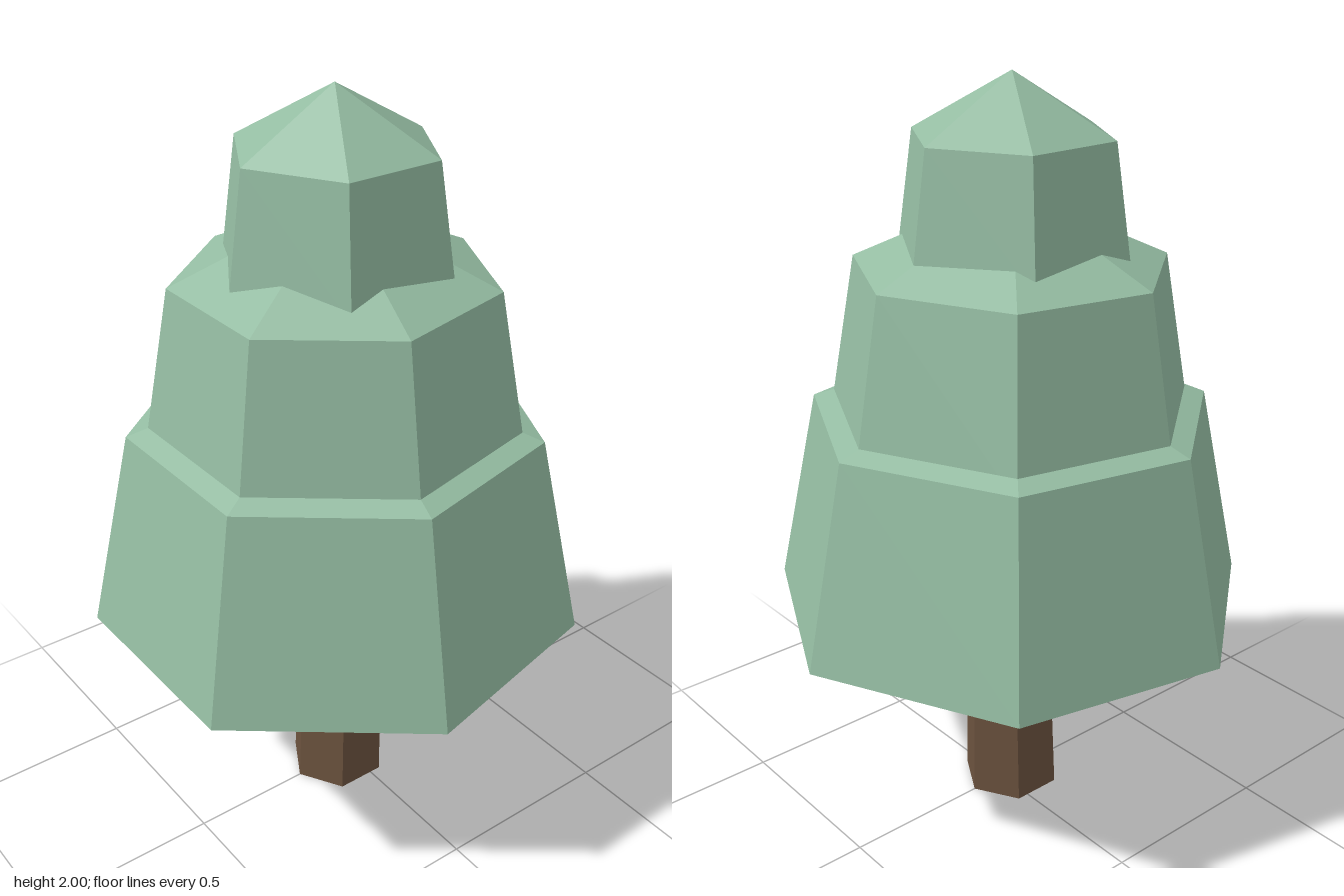
import * as THREE from 'three';

const AXIS_X = -0.033;

// Faceted closed solid of revolution, with one corner pointing along +x
function facetedSolid(profile, sides) {
  const points = profile.map(([r, y]) => new THREE.Vector2(r, y));
  return new THREE.LatheGeometry(points, sides, Math.PI / 2);
}

function addPart(group, name, geometry, material) {
  const flat = geometry.toNonIndexed();
  flat.computeVertexNormals();
  const mesh = new THREE.Mesh(flat, material);
  mesh.name = name;
  mesh.position.x = AXIS_X;
  group.add(mesh);
}

export function createModel() {
  const tree = new THREE.Group();
  tree.name = 'tree';

  const leafGreen = new THREE.MeshStandardMaterial({ color: 0x94bca2 });
  leafGreen.name = 'leaf green';
  const barkBrown = new THREE.MeshStandardMaterial({ color: 0x6b523e });
  barkBrown.name = 'bark brown';

  // Tapered six-sided trunk, leaning slightly toward +x
  const trunk = facetedSolid([[0, 0], [0.135, 0], [0.116, 0.7], [0, 0.7]], 6);
  const p = trunk.attributes.position;
  for (let i = 0; i < p.count; i++) p.setX(i, p.getX(i) - 0.002 + 0.023 * p.getY(i));
  addPart(tree, 'trunk', trunk, barkBrown);

  // Foliage tiers: tapered skirts with low pointed caps
  const tiers = [
    { name: 'lowerFoliage', sides: 7, bottom: [0.654, 0.6], rim: [0.536, 1.14], apex: 1.33 },
    { name: 'middleFoliage', sides: 7, bottom: [0.49, 1.1], rim: [0.411, 1.53], apex: 1.72 },
    { name: 'upperFoliage', sides: 6, bottom: [0.308, 1.54], rim: [0.262, 1.85], apex: 2.0 },
  ];
  for (const { name, sides, bottom, rim, apex } of tiers) {
    const profile = [[0, bottom[1]], bottom, rim, [0, apex]];
    addPart(tree, name, facetedSolid(profile, sides), leafGreen);
  }

  return tree;
}
